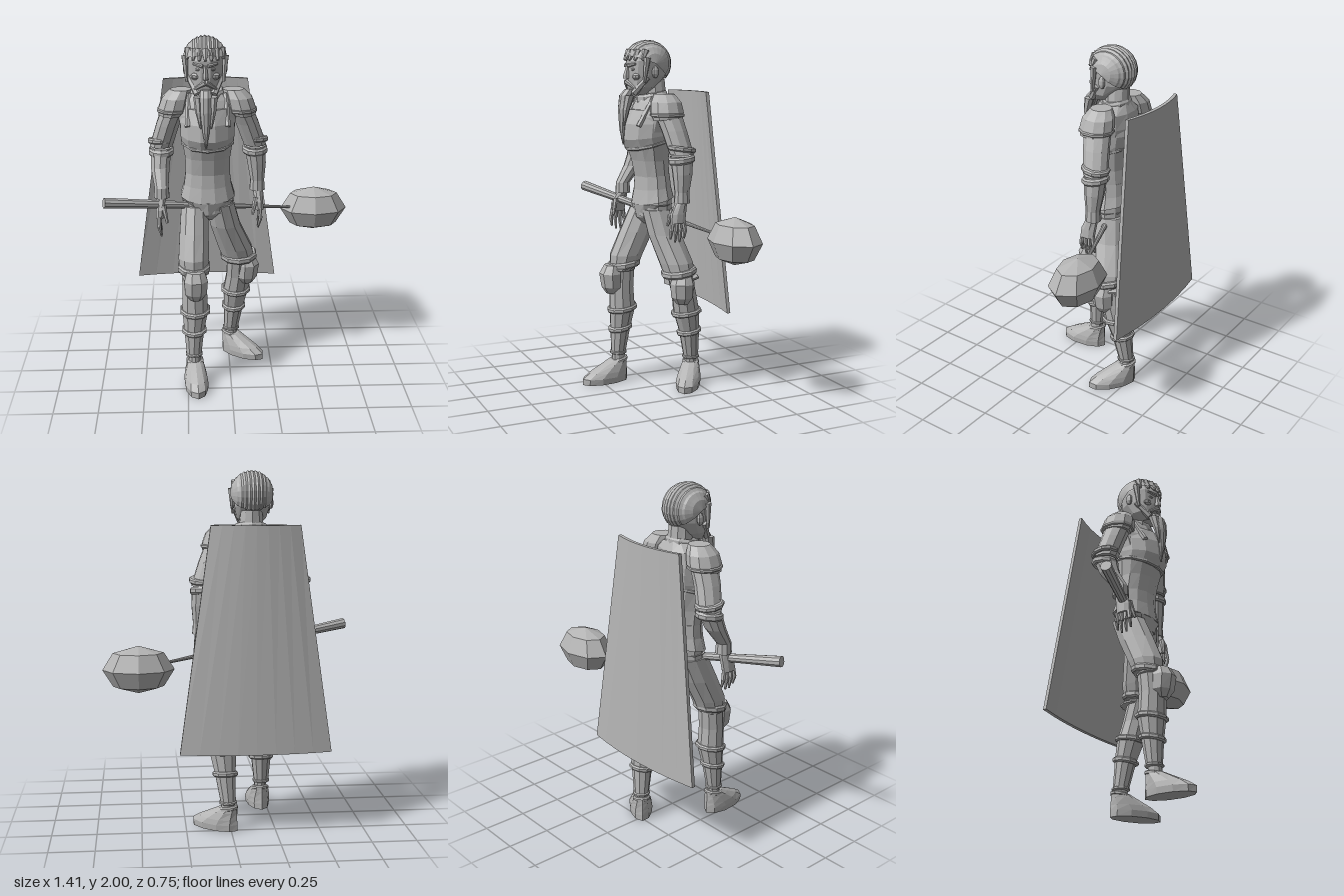
import * as THREE from 'three';

const steel = new THREE.MeshStandardMaterial({ color: 0xb4b4b4, side: THREE.DoubleSide });
steel.name = 'plain grey';

// Faceted mesh: every face gets its own normal
function part(parent, name, geo) {
  const g = geo.index ? geo.toNonIndexed() : geo;
  g.computeVertexNormals();
  const mesh = new THREE.Mesh(g, steel);
  mesh.name = name;
  parent.add(mesh);
  return mesh;
}

// Capped skin over elliptical rings [x, y, z, rx, rz, frontDip]
function loft(list, n = 10) {
  const rings = list[0][1] > list[list.length - 1][1] ? [...list].reverse() : list;
  const pos = [], idx = [];
  for (const [x, y, z, rx, rz, dip = 0] of rings) {
    for (let i = 0; i < n; i++) {
      const a = ((i + 0.5) / n) * Math.PI * 2;
      pos.push(x + rx * Math.cos(a), y - dip * Math.sin(a), z + rz * Math.sin(a));
    }
  }
  const last = (rings.length - 1) * n, c = rings.length * n;
  for (const r of [rings[0], rings[rings.length - 1]]) pos.push(r[0], r[1], r[2]);
  for (let i = 0; i < n; i++) {
    const j = (i + 1) % n;
    for (let k = 0; k < last; k += n) idx.push(k + i, k + n + i, k + j, k + j, k + n + i, k + n + j);
    idx.push(c, i, j, c + 1, last + j, last + i);
  }
  const g = new THREE.BufferGeometry();
  g.setAttribute('position', new THREE.Float32BufferAttribute(pos, 3));
  g.setIndex(idx);
  return g;
}

// Raised strip round a limb
const band = (x, y, z, rx, rz, h = 0.025, dip = 0) => loft([
  [x, y - h / 2, z, rx - 0.008, rz - 0.008, dip], [x, y - h / 4, z, rx, rz, dip],
  [x, y + h / 4, z, rx, rz, dip], [x, y + h / 2, z, rx - 0.008, rz - 0.008, dip]]);

// Tapered rod between two points
function rod(a, b, ra, rb, n = 6) {
  const A = new THREE.Vector3(...a), B = new THREE.Vector3(...b), d = B.clone().sub(A);
  const g = new THREE.CylinderGeometry(rb, ra, d.length(), n);
  g.applyQuaternion(new THREE.Quaternion().setFromUnitVectors(new THREE.Vector3(0, 1, 0), d.normalize()));
  const m = A.add(B).multiplyScalar(0.5);
  return g.translate(m.x, m.y, m.z);
}

const blob = (x, y, z, rx, ry, rz, w = 8, h = 5) =>
  new THREE.SphereGeometry(1, w, h).scale(rx, ry, rz).translate(x, y, z);

function addTorso(root) {
  const g = new THREE.Group(); g.name = 'torso'; root.add(g);
  const X = -0.125;
  part(g, 'body', loft([[X, 1.0, -0.045, 0.15, 0.1], [X, 1.1, -0.045, 0.145, 0.105], [X, 1.2, -0.045, 0.128, 0.095],
    [X, 1.32, -0.03, 0.13, 0.105], [X, 1.45, -0.015, 0.15, 0.135], [X, 1.57, -0.035, 0.165, 0.125],
    [X, 1.65, -0.05, 0.15, 0.1], [X, 1.7, -0.05, 0.08, 0.075]], 12));
  part(g, 'breastplate', loft([[X, 1.42, -0.02, 0.148, 0.13, 0.035], [X, 1.46, -0.012, 0.154, 0.15, 0.02],
    [X, 1.53, -0.02, 0.155, 0.15], [X, 1.61, -0.03, 0.14, 0.125]], 12));
  part(g, 'breastplateRim', band(X, 1.42, -0.02, 0.155, 0.136, 0.022, 0.035));
  part(g, 'tunicSkirt', loft([[X, 1.09, -0.045, 0.158, 0.118, 0.025], [X, 1.16, -0.045, 0.138, 0.104, 0.01],
    [X, 1.24, -0.043, 0.128, 0.098]], 12));
  part(g, 'groin', loft([[X, 0.95, -0.04, 0.04, 0.05], [X, 0.99, -0.03, 0.085, 0.085], [X, 1.07, -0.04, 0.155, 0.112]]));
  part(g, 'collar', band(X, 1.68, -0.04, 0.095, 0.09, 0.05, 0.015));
  part(g, 'neck', loft([[X, 1.64, -0.06, 0.075, 0.07], [-0.13, 1.78, -0.055, 0.062, 0.065]]));
  for (const s of [-1, 1]) { // shoulder armour
    const x = X + s * 0.165;
    part(g, 'pauldron', loft([[x + s * 0.035, 1.565, -0.05, 0.072, 0.088, 0.01], [x + s * 0.02, 1.6, -0.05, 0.088, 0.098],
      [x + s * 0.005, 1.655, -0.05, 0.083, 0.09], [x - s * 0.02, 1.7, -0.05, 0.06, 0.06]]));
    part(g, 'pauldronRim', band(x + s * 0.025, 1.585, -0.05, 0.09, 0.1, 0.022));
    part(g, 'shoulderStrap', rod([X + s * 0.1, 1.68, -0.01], [X + s * 0.11, 1.52, 0.09], 0.016, 0.016));
  }
}

function addHead(root) {
  const g = new THREE.Group(); g.name = 'head'; root.add(g);
  const X = -0.135;
  part(g, 'skull', loft([[X, 1.69, 0.045, 0.045, 0.045], [X, 1.735, 0.015, 0.085, 0.085], [X, 1.8, -0.012, 0.1, 0.117],
    [X, 1.88, -0.015, 0.106, 0.12], [X, 1.95, -0.02, 0.085, 0.095]], 12));
  // Ribbed hair swept from brow to nape
  const pts = [];
  for (let i = 0; i <= 22; i++) {
    const t = -1 + i / 11;
    pts.push(new THREE.Vector2(Math.max(0.001, Math.sqrt(1 - t * t) * (i % 2 ? 1.0 : 0.95)), t));
  }
  const hair = new THREE.LatheGeometry(pts, 12, -3.85, 3.5);
  part(g, 'hair', hair.rotateZ(-Math.PI / 2).scale(0.122, 0.133, 0.142).translate(X, 1.867, -0.017));
  for (let i = -3; i <= 3; i++) {
    part(g, 'fringeLock', rod([X + i * 0.03, 1.94, 0.085 - i * i * 0.006], [X + i * 0.033, 1.885, 0.116 - i * i * 0.007], 0.021, 0.008));
  }
  for (const s of [-1, 1]) {
    part(g, 'sideLock', rod([X + s * 0.11, 1.9, 0.03], [X + s * 0.1, 1.76, 0.045], 0.02, 0.008));
    part(g, 'ear', blob(X + s * 0.108, 1.82, -0.02, 0.014, 0.035, 0.022));
    part(g, 'eyebrow', rod([X + s * 0.015, 1.855, 0.108], [X + s * 0.065, 1.865, 0.085], 0.011, 0.007));
    part(g, 'eye', blob(X + s * 0.038, 1.835, 0.087, 0.018, 0.009, 0.012));
    part(g, 'cheek', blob(X + s * 0.05, 1.795, 0.07, 0.03, 0.022, 0.025));
    part(g, 'moustache', rod([X, 1.768, 0.112], [X + s * 0.062, 1.725, 0.08], 0.016, 0.006));
    part(g, 'jawBeard', rod([X + s * 0.095, 1.79, 0.02], [X + s * 0.045, 1.7, 0.085], 0.014, 0.02));
    part(g, 'sideBeard', loft([[X + s * 0.028, 1.52, 0.138, 0.004, 0.004], [X + s * 0.037, 1.61, 0.128, 0.02, 0.02],
      [X + s * 0.042, 1.69, 0.108, 0.025, 0.03]], 7));
  }
  part(g, 'nose', loft([[X, 1.785, 0.11, 0.017, 0.022], [X, 1.8, 0.11, 0.016, 0.021], [X, 1.855, 0.1, 0.009, 0.012]], 6));
  part(g, 'beard', loft([[X, 1.41, 0.132, 0.004, 0.004], [X, 1.5, 0.138, 0.02, 0.016], [X, 1.61, 0.135, 0.032, 0.026],
    [X, 1.69, 0.115, 0.034, 0.036], [X, 1.725, 0.09, 0.03, 0.03]], 8));
}

// points: shoulder, mid upper arm, elbow, mid forearm, wrist, each [x, y, z]
function addArm(root, name, s, [sh, mid, el, fore, wr]) {
  const g = new THREE.Group(); g.name = name; root.add(g);
  part(g, 'upperArm', loft([[...sh, 0.07, 0.08], [...mid, 0.068, 0.074], [...el, 0.066, 0.07]]));
  part(g, 'sleeveCuff', band(el[0], el[1] + 0.03, el[2], 0.077, 0.08, 0.03, -0.01));
  part(g, 'elbowGuard', band(el[0], el[1] - 0.03, el[2], 0.073, 0.077, 0.04, 0.01));
  part(g, 'forearm', loft([[el[0], el[1] - 0.01, el[2], 0.062, 0.066], [...fore, 0.055, 0.057],
    [wr[0], wr[1] + 0.06, wr[2], 0.041, 0.042], [wr[0], wr[1], wr[2], 0.046, 0.046]]));
  // Open hanging hand
  const [x, y, z] = wr;
  part(g, 'palm', loft([[x + s * 0.012, y - 0.11, z + 0.03, 0.024, 0.044], [x + s * 0.008, y - 0.06, z + 0.025, 0.027, 0.046],
    [x, y + 0.02, z, 0.028, 0.032]], 8));
  for (let i = 0; i < 4; i++) {
    const fz = z + 0.062 - i * 0.022, len = 0.1 + (i === 1 || i === 2 ? 0.02 : 0);
    const knuckle = [x + s * 0.016, y - 0.155, fz + (1.5 - i) * 0.006];
    part(g, 'finger', rod([x + s * 0.012, y - 0.1, fz], knuckle, 0.013, 0.012));
    part(g, 'fingertip', rod(knuckle, [x + s * 0.004, y - 0.1 - len, knuckle[2]], 0.012, 0.006));
  }
  part(g, 'thumb', rod([x - s * 0.01, y - 0.035, z + 0.05], [x - s * 0.03, y - 0.13, z + 0.075], 0.016, 0.008));
}

// shin points: knee, below knee, calf, lower calf, ankle
function addLeg(root, name, thigh, shin, yaw, heel) {
  const g = new THREE.Group(); g.name = name; root.add(g);
  part(g, 'thigh', loft(thigh));
  const [tx, ty, tz, trx, trz] = thigh[thigh.length - 1];
  part(g, 'thighCuff', band(tx, ty + 0.015, tz, trx + 0.014, trz + 0.014, 0.04, 0.015));
  const r = [0.073, 0.073, 0.077, 0.06, 0.044];
  part(g, 'shin', loft(shin.map((p, i) => [...p, r[i], r[i]])));
  for (const i of [2, 3]) part(g, 'greaveBand', band(...shin[i], r[i] + 0.013, r[i] + 0.013, 0.03, 0.012));
  const a = shin[4];
  part(g, 'greaveHem', band(...a, 0.051, 0.051, 0.02));
  // Knee guard faces the way the foot points
  const k = shin[1], dx = Math.sin(yaw), dz = Math.cos(yaw);
  const knee = part(g, 'kneeGuard', loft([[0, -0.1, 0, 0.035, 0.04], [0, -0.06, 0.005, 0.066, 0.062], [0, 0.02, 0.01, 0.072, 0.07],
    [0, 0.07, 0, 0.055, 0.05]], 8));
  knee.position.set(k[0] + dx * 0.055, k[1] + 0.065, k[2] + dz * 0.055);
  knee.rotation.y = yaw;
  const strap = part(g, 'kneeStrap', band(k[0], k[1] + 0.11, k[2], 0.085, 0.085, 0.02));
  strap.rotation.y = 0;
  // Shoe, built from the heel forward
  const shoe = new THREE.Group(); shoe.name = 'shoe'; g.add(shoe);
  part(shoe, 'upper', loft([[0, 0, 0.147, 0.066, 0.147], [0, 0.035, 0.147, 0.07, 0.147], [0, 0.065, 0.125, 0.066, 0.122],
    [0, 0.105, 0.085, 0.055, 0.08], [0, 0.13, 0.06, 0.046, 0.054]], 10));
  part(shoe, 'ankle', loft([[0, 0.11, 0.06, 0.037, 0.04], [0, 0.18, 0.06, 0.036, 0.038]]));
  part(shoe, 'shoeCuff', band(0, 0.125, 0.06, 0.051, 0.058, 0.024, 0.01));
  shoe.position.set(heel[0], 0, heel[1]);
  shoe.rotation.y = yaw;
}

export function createModel() {
  const root = new THREE.Group();
  root.name = 'bearded armoured figure';
  addTorso(root);
  addHead(root);

  addArm(root, 'rightArm', -1, [[-0.3, 1.62, -0.05], [-0.345, 1.5, -0.06], [-0.385, 1.37, -0.08], [-0.392, 1.26, -0.04], [-0.385, 1.1, 0.03]]);
  addArm(root, 'leftArm', 1, [[0.05, 1.62, -0.05], [0.1, 1.5, -0.075], [0.145, 1.37, -0.1], [0.155, 1.26, -0.1], [0.16, 1.1, -0.095]]);

  addLeg(root, 'rightLeg',
    [[-0.2, 1.04, -0.04, 0.08, 0.1], [-0.205, 0.9, 0.02, 0.086, 0.105], [-0.21, 0.76, 0.085, 0.09, 0.1], [-0.21, 0.69, 0.1, 0.082, 0.085]],
    [[-0.21, 0.7, 0.11], [-0.206, 0.57, 0.12], [-0.205, 0.44, 0.115], [-0.212, 0.32, 0.125], [-0.215, 0.17, 0.137]], 0.08, [-0.215, 0.08]);
  addLeg(root, 'leftLeg',
    [[-0.055, 1.04, -0.05, 0.083, 0.1], [-0.025, 0.9, -0.075, 0.09, 0.1], [0.035, 0.74, -0.12, 0.102, 0.1], [0.055, 0.67, -0.13, 0.096, 0.088]],
    [[0.06, 0.68, -0.13], [0.055, 0.54, -0.165], [0.042, 0.44, -0.185], [0.03, 0.32, -0.21], [0.015, 0.16, -0.23]], 0.95, [-0.035, -0.265]);

  // Stiff curved cape, wider at the hem
  const cape = new THREE.BoxGeometry(1, 1, 1, 8, 1, 1), p = cape.attributes.position;
  for (let i = 0; i < p.count; i++) {
    const u = p.getX(i), v = p.getY(i) + 0.5, w = p.getZ(i) + 0.5;
    p.setXYZ(i, -0.13 + u * (0.835 - 0.35 * v), 0.47 + 1.24 * v, -0.379 + 0.056 * v + 0.15 * u * u + 0.02 * w);
  }
  part(root, 'cape', cape);

  // Long-handled mace
  const mace = new THREE.Group(); mace.name = 'mace'; root.add(mace);
  part(mace, 'handle', rod([-0.7, 1.11, 0.153], [0.4, 0.948, -0.2], 0.031, 0.007, 10));
  part(mace, 'maceHead', blob(0.505, 0.93, -0.24, 0.196, 0.131, 0.131, 8, 4));
  return root;
}
